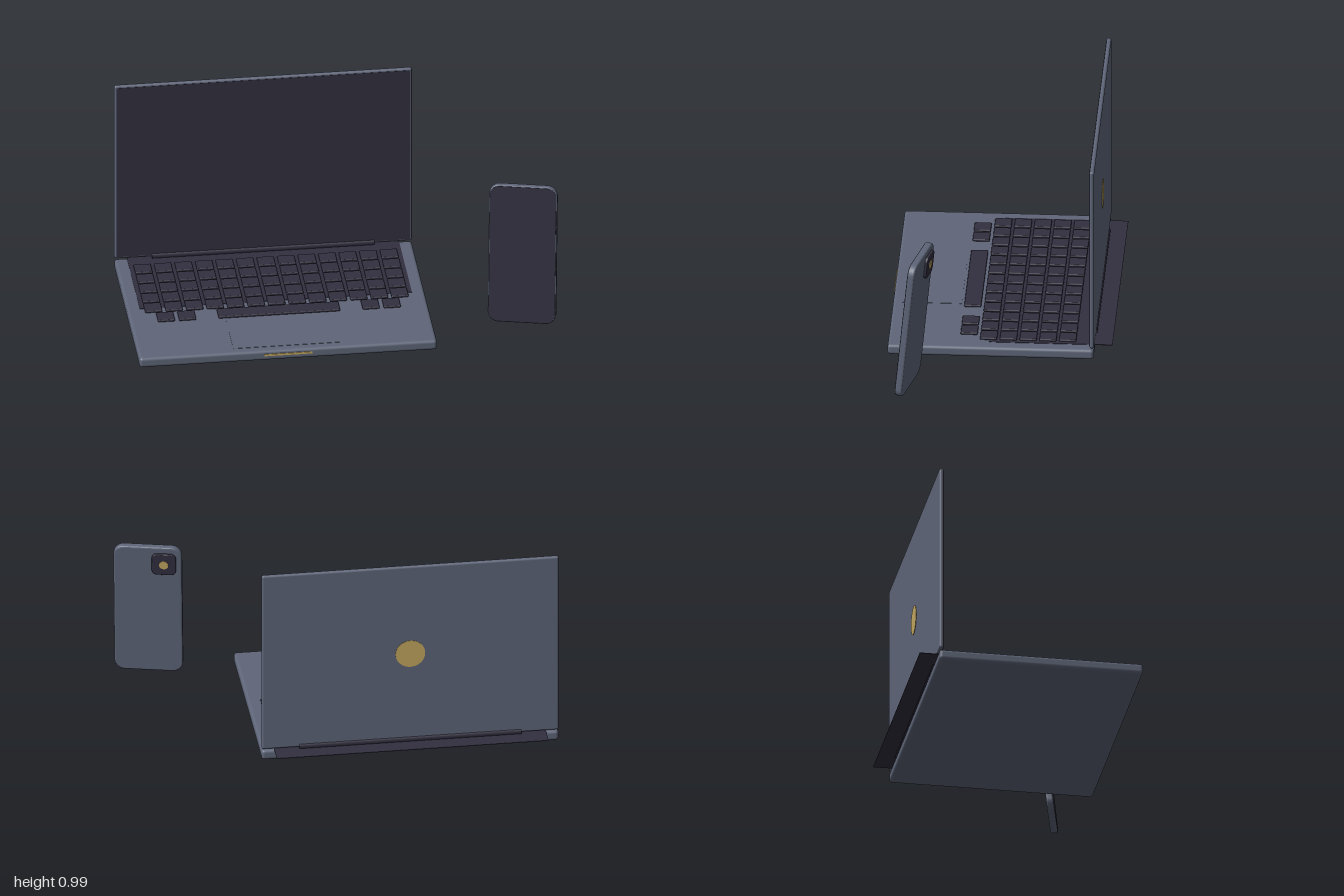
import * as THREE from 'three';
import { RoundedBoxGeometry } from 'three/addons/geometries/RoundedBoxGeometry.js';

const slate = new THREE.MeshStandardMaterial({ color: 0x5f6679 });
slate.name = 'slate metal';
const dark = new THREE.MeshStandardMaterial({ color: 0x322f3f });
dark.name = 'dark glass';
const gold = new THREE.MeshStandardMaterial({ color: 0xc4a860 });
gold.name = 'gold accent';

function add(parent, name, geometry, material, x = 0, y = 0, z = 0) {
  const mesh = new THREE.Mesh(geometry, material);
  mesh.name = name;
  mesh.position.set(x, y, z);
  parent.add(mesh);
  return mesh;
}

const box = (w, h, d) => new THREE.BoxGeometry(w, h, d);
const rounded = (w, h, d, r) => new RoundedBoxGeometry(w, h, d, 3, r);

// Rounded rectangle slab in the xy plane, centred, with softened edges
function slab(w, h, d, r, bevel) {
  const a = w / 2 - bevel, b = h / 2 - bevel, c = r - bevel;
  const s = new THREE.Shape();
  s.absarc(a - c, b - c, c, 0, Math.PI / 2);
  s.absarc(-a + c, b - c, c, Math.PI / 2, Math.PI);
  s.absarc(-a + c, -b + c, c, Math.PI, Math.PI * 1.5);
  s.absarc(a - c, -b + c, c, Math.PI * 1.5, Math.PI * 2);
  const g = new THREE.ExtrudeGeometry(s, {
    depth: d - 2 * bevel, bevelEnabled: bevel > 0, bevelSize: bevel,
    bevelThickness: bevel, bevelSegments: 3, curveSegments: 8,
  });
  return g.translate(0, 0, -(d - 2 * bevel) / 2);
}

function makeLaptop() {
  const laptop = new THREE.Group();
  laptop.name = 'laptop';
  laptop.position.x = -0.2975;

  // Base with keyboard deck, trackpad and front accent
  add(laptop, 'base', rounded(1.405, 0.05, 0.968, 0.015), slate, 0, 0.025, 0.039);
  add(laptop, 'keyboardDeck', box(1.285, 0.003, 0.58), dark, 0, 0.0505, -0.24);
  add(laptop, 'trackpad', box(0.51, 0.002, 0.28), slate, 0, 0.0505, 0.34);
  add(laptop, 'frontAccent', box(0.225, 0.01, 0.006), gold, 0, 0.03, 0.523);

  // Keys: five full rows, then a short row around the space bar
  const keys = new THREE.Group();
  keys.name = 'keys';
  laptop.add(keys);
  const keyGeometry = new RoundedBoxGeometry(0.081, 0.012, 0.08, 2, 0.005);
  const pitch = 0.0969, rowPitch = 0.0928, keyY = 0.055;
  for (let row = 0; row < 5; row++) {
    for (let col = -6; col <= 6; col++) {
      add(keys, 'key', keyGeometry, dark, col * pitch, keyY, -0.318 + row * rowPitch);
    }
  }
  for (const x of [-0.533, -0.433, 0.433, 0.533]) {
    add(keys, 'key', keyGeometry, dark, x, keyY, 0.147);
  }
  add(keys, 'spaceBar', new RoundedBoxGeometry(0.575, 0.012, 0.08, 2, 0.005), dark, 0, keyY, 0.147);

  // Hinge barrel
  const hinge = new THREE.CylinderGeometry(0.018, 0.018, 1.05, 20).rotateZ(Math.PI / 2);
  add(laptop, 'hinge', hinge, dark, 0, 0.061, -0.435);

  // Lid with display and round back plate
  add(laptop, 'lid', rounded(1.405, 0.927, 0.022, 0.01), slate, 0, 0.5215, -0.436);
  add(laptop, 'display', box(1.385, 0.907, 0.003), dark, 0, 0.5215, -0.425);
  const disc = new THREE.CylinderGeometry(0.07, 0.07, 0.004, 40).rotateX(Math.PI / 2);
  add(laptop, 'lidDisc', disc, gold, 0, 0.52, -0.447);
  return laptop;
}

function makePhone() {
  const phone = new THREE.Group();
  phone.name = 'phone';
  phone.position.set(0.828, 0.406, 0.372);
  phone.rotation.set(-0.1, -0.235, 0, 'YXZ');

  add(phone, 'phoneBody', slab(0.322, 0.7, 0.034, 0.05, 0.008), slate);
  add(phone, 'phoneDisplay', slab(0.312, 0.69, 0.003, 0.046, 0), dark, 0, 0, 0.0165);

  // Camera bump and lens on the back
  add(phone, 'cameraBump', slab(0.115, 0.115, 0.016, 0.028, 0.004), dark, -0.077, 0.262, -0.021);
  const lens = new THREE.CylinderGeometry(0.022, 0.022, 0.006, 28).rotateX(Math.PI / 2);
  add(phone, 'cameraLens', lens, gold, -0.077, 0.262, -0.029);
  return phone;
}

export function createModel() {
  const model = new THREE.Group();
  model.name = 'laptopAndPhone';
  model.add(makeLaptop(), makePhone());
  return model;
}
